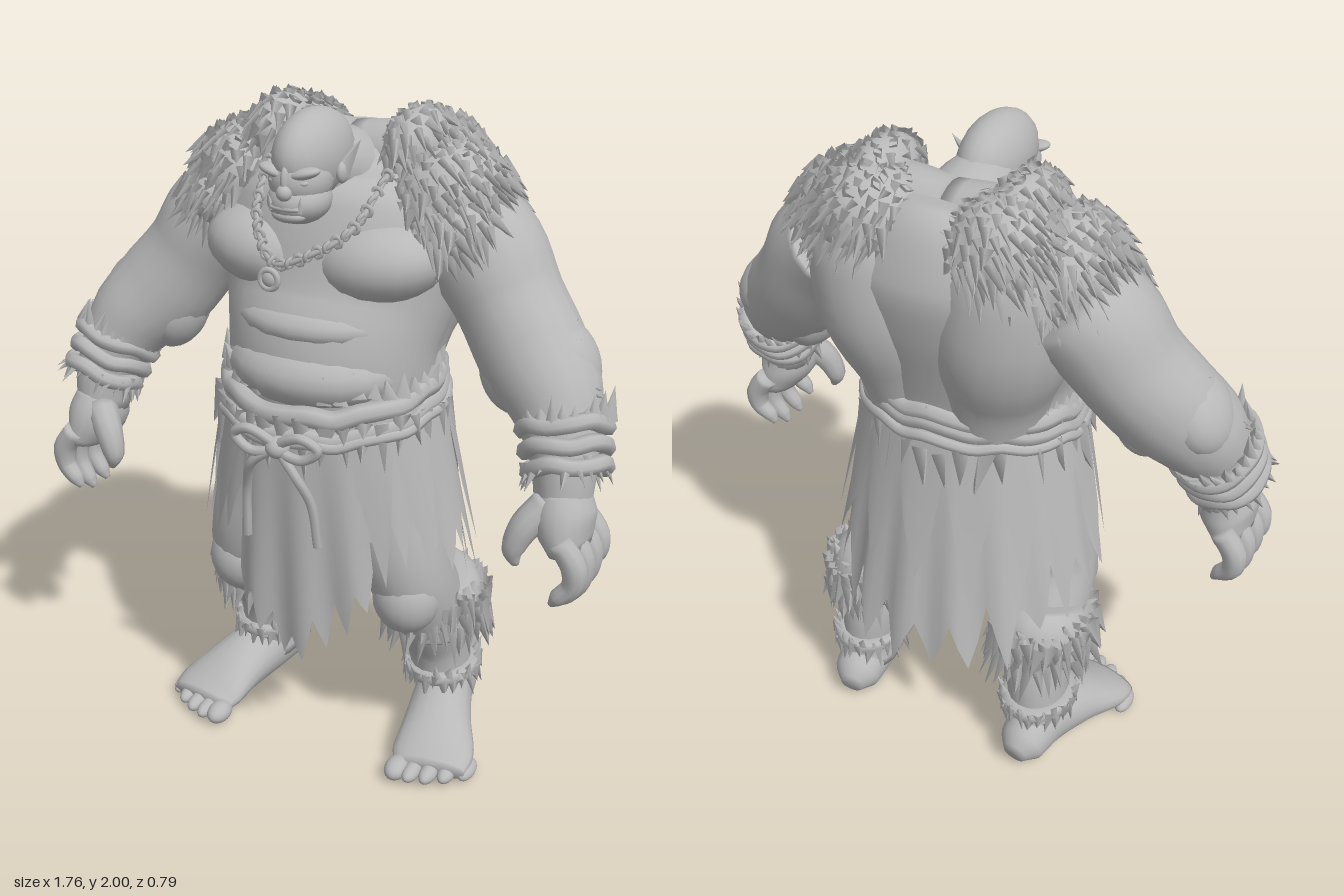
import * as THREE from 'three';
import { mergeGeometries } from 'three/addons/utils/BufferGeometryUtils.js';

const V = (x, y, z) => new THREE.Vector3(x, y, z);
const clay = new THREE.MeshStandardMaterial({ color: 0xb8b8b8, side: THREE.DoubleSide });
clay.name = 'greyClay';

let seed = 7;
const rnd = () => { seed = (seed * 16807) % 2147483647; return seed / 2147483647; };

// Smooth surface through rings of points, capped when closed
function loft(rings, closed = true) {
  const n = rings[0].length, pos = [], idx = [];
  rings.forEach(r => r.forEach(p => pos.push(p.x, p.y, p.z)));
  for (let i = 0; i < rings.length - 1; i++)
    for (let j = 0; j < (closed ? n : n - 1); j++) {
      const a = i * n + j, b = i * n + (j + 1) % n;
      idx.push(a, b, a + n, b, b + n, a + n);
    }
  if (closed) [0, rings.length - 1].forEach((r, end) => {
    const c = rings[r].reduce((s, p) => s.add(p), V(0, 0, 0)).divideScalar(n), k = pos.length / 3;
    pos.push(c.x, c.y, c.z);
    for (let j = 0; j < n; j++) {
      const a = r * n + j, b = r * n + (j + 1) % n;
      if (end) idx.push(k, a, b);
      else idx.push(k, b, a);
    }
  });
  const g = new THREE.BufferGeometry();
  g.setAttribute('position', new THREE.Float32BufferAttribute(pos, 3));
  g.setIndex(idx);
  g.computeVertexNormals();
  return g;
}

function ringAt(c, t, ra, rb, n, ref = V(0, 0, 1)) {
  const A = t.clone().cross(ref).normalize(), B = t.clone().cross(A).normalize();
  return Array.from({ length: n }, (_, j) => {
    const a = j / n * Math.PI * 2;
    return c.clone().addScaledVector(A, Math.cos(a) * ra).addScaledVector(B, Math.sin(a) * rb);
  });
}

// Limb through [x, y, z, radiusA, radiusB] points
function limb(pts, n = 18, ref = V(0, 0, 1)) {
  const path = new THREE.CatmullRomCurve3(pts.map(p => V(p[0], p[1], p[2])));
  const rad = new THREE.CatmullRomCurve3(pts.map(p => V(p[3], p[4] ?? p[3], 0)));
  const steps = (pts.length - 1) * 4, rings = [];
  for (let i = 0; i <= steps; i++) {
    const u = i / steps, r = rad.getPoint(u);
    rings.push(ringAt(path.getPoint(u), path.getTangent(u), r.x, r.y, n, ref));
  }
  return loft(rings);
}

const blob = (x, y, z, rx, ry, rz, tilt = 0) =>
  new THREE.SphereGeometry(1, 20, 14).scale(rx, ry, rz).rotateZ(tilt).translate(x, y, z);

const rope = (pts, r, closed = false, n = 40) =>
  new THREE.TubeGeometry(new THREE.CatmullRomCurve3(pts.map(p => V(...p)), closed), n, r, 7, closed);

// One flat pointed lock of hair
function lock(p, dir, len, w) {
  const q = new THREE.Quaternion().setFromUnitVectors(V(0, 1, 0), dir.clone().normalize());
  return new THREE.ConeGeometry(w, len, 4, 1, true).translate(0, len * 0.4, 0).scale(1, 1, 0.6)
    .applyQuaternion(q).translate(p.x, p.y, p.z);
}

// Locks around a ring, leaning along t
function lockRing(c, axis, ra, rb, n, len, w, lean = 1) {
  const t = axis.clone().normalize();
  return ringAt(c, t, ra, rb, n).map(p => {
    const d = p.clone().sub(c).normalize().multiplyScalar(0.3).addScaledVector(t, lean);
    d.add(V(rnd() - 0.5, rnd() - 0.5, rnd() - 0.5).multiplyScalar(0.4));
    return lock(p.addScaledVector(t, (rnd() - 0.5) * 0.03), d, len * (0.6 + rnd() * 0.7), w);
  });
}

// Locks scattered over an ellipsoid, lying close to it and pointing down
function lockBlob(n, x, y, z, rx, ry, rz) {
  return Array.from({ length: n }, (_, i) => {
    const v = 1 - 1.7 * (i + 0.5) / n, a = i * 2.39996, s = Math.sqrt(1 - v * v);
    const u = V(Math.cos(a) * s, v, Math.sin(a) * s);
    const d = V(u.x / rx, u.y / ry, u.z / rz).normalize().multiplyScalar(0.32);
    d.add(V(Math.sign(x) * 0.25 + (rnd() - 0.5) * 0.5, -0.65, (rnd() - 0.5) * 0.5));
    return lock(V(x + u.x * rx, y + u.y * ry, z + u.z * rz), d, 0.05 + rnd() * 0.04, 0.021);
  });
}

// Hanging cloth between angles (0 = front) with a ragged hem
function cloth(a0, a1, teeth, base, depth, off) {
  const rows = 9, cols = teeth * 4, amp = Array.from({ length: teeth + 1 }, () => 0.35 + rnd() * 0.65);
  const rings = Array.from({ length: rows }, (_, i) => Array.from({ length: cols + 1 }, (_, j) => {
    const a = a0 + (a1 - a0) * j / cols, tooth = Math.floor(j / 4), f = (j % 4) / 4;
    const hem = base(a) + depth * amp[tooth] * Math.abs(2 * f - 1) + (1 - amp[tooth]) * depth * 0.5;
    const y = 1.2 - (1.2 - hem) * i / (rows - 1), k = (1.2 - y) / 0.7;
    const fold = off + 0.012 * k * Math.sin(a * 17);
    const c = Math.cos(a), rz = c > 0 ? 0.3 - 0.02 * k : 0.27 + 0.11 * k;
    return V(Math.sin(a) * (0.31 + 0.14 * k + fold), y, c * (rz + fold));
  }));
  return loft(rings.reverse(), false);
}

export function createModel() {
  seed = 7;
  const root = new THREE.Group();
  const add = (name, ...geos) => {
    const list = geos.flat(Infinity).map(g => g.toNonIndexed().deleteAttribute('uv'));
    const m = new THREE.Mesh(mergeGeometries(list), clay);
    m.name = name;
    root.add(m);
  };
  const down = V(0, -1, 0), up = V(0, 1, 0);

  // Trunk
  add('torso', limb([[0, 0.98, 0, 0.26, 0.24], [0, 1.2, 0.01, 0.3, 0.27], [0, 1.32, 0.01, 0.31, 0.28],
    [0, 1.45, -0.03, 0.345, 0.265], [0, 1.6, -0.07, 0.38, 0.265], [0, 1.72, -0.1, 0.35, 0.255],
    [0, 1.82, -0.11, 0.25, 0.2], [0, 1.88, -0.1, 0.13, 0.13]], 32));
  add('belly', blob(0, 1.28, 0.1, 0.27, 0.125, 0.225), blob(0, 1.42, 0.09, 0.25, 0.085, 0.195));
  add('neck', limb([[0, 1.72, -0.1, 0.17], [0, 1.81, 0, 0.125], [0, 1.85, 0.12, 0.08]]));

  // Head
  add('head', blob(0, 1.88, 0.13, 0.092, 0.12, 0.165), blob(0, 1.775, 0.21, 0.085, 0.065, 0.095),
    blob(0, 1.83, 0.2, 0.084, 0.08, 0.1));
  add('face', blob(0, 1.81, 0.295, 0.022, 0.022, 0.022), blob(0, 1.84, 0.288, 0.012, 0.04, 0.018),
    blob(0, 1.768, 0.285, 0.05, 0.012, 0.02), blob(0, 1.745, 0.27, 0.05, 0.02, 0.03));

  for (const s of [1, -1]) {
    const side = s > 0 ? 'left' : 'right';
    const P = pts => pts.map(([x, ...r]) => [x * s, ...r]);
    const B = (x, y, z, a, b, c, t = 0) =>
      new THREE.SphereGeometry(1, 20, 14).scale(a, b, c).rotateZ(t * s).translate(x * s, y, z);

    add(side + 'Brow', B(0.04, 1.858, 0.265, 0.05, 0.016, 0.03, 0.25), B(0.04, 1.835, 0.27, 0.018, 0.01, 0.015));
    add(side + 'Tusk', lock(V(s * 0.04, 1.765, 0.29), V(s * 0.2, 1, 0.1), 0.045, 0.01));
    add(side + 'Ear', lock(V(s * 0.088, 1.85, 0.14), V(s * 0.4, 0.75, -0.35), 0.1, 0.032), B(0.09, 1.84, 0.14, 0.016, 0.03, 0.025));

    // Chest and back muscles
    add(side + 'Chest', B(0.165, 1.59, 0.065, 0.195, 0.12, 0.165, 0.12));
    add(side + 'BackMuscle', limb(P([[0.12, 1.12, -0.09, 0.13, 0.14], [0.14, 1.35, -0.11, 0.165, 0.175],
      [0.18, 1.55, -0.155, 0.2, 0.2], [0.2, 1.74, -0.165, 0.185, 0.18], [0.19, 1.84, -0.15, 0.1, 0.12]])));
    add(side + 'Trapezius', limb(P([[0, 1.83, -0.12, 0.09], [0.18, 1.82, -0.12, 0.11], [0.38, 1.73, -0.11, 0.13]])));

    // Arm with a heavy forearm
    add(side + 'Arm', limb(P([[0.33, 1.68, -0.12, 0.15, 0.17], [0.42, 1.6, -0.085, 0.165, 0.175], [0.505, 1.48, -0.06, 0.15, 0.165],
      [0.585, 1.375, -0.02, 0.155, 0.155], [0.675, 1.275, 0.035, 0.135, 0.14], [0.735, 1.14, 0.1, 0.092, 0.1], [0.75, 1.0, 0.125, 0.075, 0.09]])));
    add(side + 'Forearm', B(0.68, 1.365, -0.01, 0.09, 0.13, 0.12, 0.6), B(0.535, 1.3, -0.01, 0.08, 0.12, 0.11, 0.4));
    const arm = V(s * 0.07, -0.24, 0.11);
    add(side + 'WristWrap', [-0.2, 0, 0.2].map((d, i) => {
      const c = V(s * 0.735, 1.155, 0.088).addScaledVector(arm, d), r = 0.112 - i * 0.005;
      return rope(ringAt(c, arm, r, r + 0.01, 12).map((p, j) => [p.x, p.y + 0.008 * Math.sin(j * 2 + i), p.z]), 0.025, true);
    }), lockRing(V(s * 0.72, 1.215, 0.06), arm, 0.118, 0.128, 26, 0.075, 0.022, -1),
      lockRing(V(s * 0.745, 1.11, 0.11), arm, 0.105, 0.115, 22, 0.065, 0.02, 0.7));
    add(side + 'ArmHair', Array.from({ length: 14 }, (_, i) => {
      const u = i / 13;
      return lock(V(s * (0.66 + 0.11 * u), 1.465 - 0.15 * u, -0.04 + 0.08 * u + rnd() * 0.04), V(s * 0.8, 0.2 - rnd() * 0.8, 0), 0.055, 0.014);
    }));

    // Hand
    add(side + 'Palm', limb(P([[0.75, 1.05, 0.12, 0.07, 0.088], [0.76, 0.98, 0.135, 0.085, 0.11], [0.785, 0.9, 0.14, 0.055, 0.115]])));
    [0.03, 0.1, 0.17, 0.235].forEach((z, i) => {
      const e = [0.04, 0, 0, 0.03][i];
      add(side + 'Finger' + (i + 1), limb(P([[0.78, 0.95, z, 0.034], [0.825, 0.885, z, 0.036], [0.825, 0.81 + e / 2, z, 0.031],
        [0.79, 0.755 + e, z + 0.005, 0.025], [0.77, 0.728 + e, z + 0.005, 0.009]]), 10));
    });
    add(side + 'Thumb', limb(P([[0.725, 1.02, 0.17, 0.05], [0.675, 0.96, 0.21, 0.043], [0.65, 0.89, 0.225, 0.032], [0.66, 0.845, 0.225, 0.01]]), 10));

    // Fur mantle: overlapping pads covered with locks
    const pads = [[0.31, 1.74, -0.09, 0.165, 0.16, 0.19], [0.36, 1.69, -0.01, 0.125, 0.1, 0.13],
      [0.2, 1.81, -0.19, 0.16, 0.14, 0.15], [0.21, 1.88, -0.1, 0.085, 0.1, 0.14]];
    add(side + 'FurMantle', pads.map(p => B(...p)), pads.map(([x, ...r], i) => lockBlob([260, 130, 220, 90][i], x * s, ...r)));

    // Leg
    add(side + 'Leg', limb(P([[0.15, 1.08, 0, 0.14, 0.2], [0.2, 0.85, 0.02, 0.165, 0.18], [0.265, 0.64, 0.04, 0.13, 0.145],
      [0.29, 0.48, -0.04, 0.115, 0.135], [0.3, 0.33, -0.12, 0.1, 0.12], [0.31, 0.2, -0.14, 0.09, 0.11], [0.315, 0.1, -0.15, 0.09, 0.11]])));
    add(side + 'Knee', B(0.28, 0.57, 0.08, 0.105, 0.12, 0.11));
    add(side + 'KneeFur', limb(P([[0.3, 0.38, -0.11, 0.115, 0.135], [0.3, 0.42, -0.105, 0.15, 0.17],
      [0.295, 0.5, -0.09, 0.145, 0.165], [0.29, 0.55, -0.07, 0.11, 0.13]])),
      [0.52, 0.48, 0.44].map((y, i) => lockRing(V(s * 0.3, y, -0.1), down, 0.145, 0.165, 32, 0.1 + i * 0.005, 0.032)),
      lockRing(V(s * 0.295, 0.53, -0.09), up, 0.125, 0.15, 24, 0.05, 0.025, 0.5));
    const ankle = V(s * 0.31, 0.215, -0.14);
    add(side + 'AnkleFur', rope(ringAt(ankle, up, 0.09, 0.11, 12), 0.026, true),
      lockRing(ankle, down, 0.108, 0.126, 24, 0.065, 0.022), lockRing(ankle, up, 0.105, 0.122, 20, 0.06, 0.02, 0.8));

    // Foot
    add(side + 'Foot', limb(P([[0.305, 0.06, -0.295, 0.035, 0.035], [0.31, 0.075, -0.25, 0.075, 0.075], [0.325, 0.1, -0.13, 0.09, 0.1],
      [0.36, 0.085, 0, 0.105, 0.083], [0.395, 0.053, 0.12, 0.125, 0.05], [0.405, 0.035, 0.18, 0.11, 0.032]]), 20, up));
    add(side + 'Toes', [0, 1, 2, 3, 4].map(i => B(0.315 + i * 0.048, 0.033 - i * 0.002, 0.21 - i * i * 0.006,
      i ? 0.026 : 0.036, i ? 0.025 : 0.033, 0.052)));
  }

  // Ragged kilt and pointed front apron
  add('kilt', cloth(0.5, Math.PI * 2 - 0.5, 20, a => 0.58 - 0.22 * Math.max(0, -Math.cos(a)) ** 2 + 0.18 * Math.max(0, Math.cos(a)), 0.26, 0));
  add('kiltOverlay', cloth(0.5, Math.PI * 2 - 0.5, 13, () => 0.66, 0.45, 0.018));
  add('apron', cloth(-0.46, 0.62, 7, a => 0.34 + 0.4 * Math.abs(a), 0.14, 0.012));

  // Sash, its frayed edge and knot
  const sash = (y, dip, r, grow) => rope(Array.from({ length: 28 }, (_, i) => {
    const a = i / 28 * Math.PI * 2, c = Math.cos(a);
    return [Math.sin(a) * (0.31 + grow), y - dip * c + 0.008 * Math.sin(i * 2.3), c * (c > 0 ? 0.31 + grow : 0.265 + grow)];
  }), r, true, 90);
  add('sash', sash(1.185, 0.06, 0.03, 0), sash(1.23, 0.045, 0.03, -0.005), sash(1.16, 0.045, 0.018, 0.02));
  add('sashFringe', lockRing(V(0, 1.25, 0.015), up, 0.305, 0.275, 40, 0.07, 0.035),
    lockRing(V(0, 1.16, 0.015), down, 0.32, 0.295, 36, 0.14, 0.04));
  add('sashKnot', blob(0, 1.11, 0.355, 0.035, 0.032, 0.035),
    [1, -1].map(s => rope([[0, 1.11, 0.36], [s * 0.08, 1.16, 0.375], [s * 0.13, 1.13, 0.365], [s * 0.08, 1.09, 0.365]], 0.015, true)));
  add('sashTails', rope([[0, 1.11, 0.36], [-0.08, 1.05, 0.36], [-0.12, 0.95, 0.32], [-0.135, 0.78, 0.3]], 0.014),
    rope([[0, 1.11, 0.36], [0.06, 1.03, 0.36], [0.09, 0.94, 0.33], [0.1, 0.8, 0.31]], 0.014));

  // Necklace of links with a round pendant
  const chain = new THREE.CatmullRomCurve3([V(-0.18, 1.82, 0.05), V(-0.15, 1.7, 0.18), V(-0.07, 1.595, 0.235),
    V(0.05, 1.635, 0.23), V(0.14, 1.7, 0.18), V(0.18, 1.82, 0.05)]);
  add('necklace', new THREE.TubeGeometry(chain, 50, 0.009, 6), chain.getSpacedPoints(26).map((p, i) =>
    new THREE.TorusGeometry(0.014, 0.007, 5, 8).rotateY(i % 2 * 1.2).rotateX(i % 2).translate(p.x, p.y, p.z)));
  add('pendant', new THREE.TorusGeometry(0.027, 0.009, 8, 18).translate(-0.07, 1.555, 0.26), blob(-0.07, 1.555, 0.257, 0.024, 0.024, 0.014));

  return root;
}
